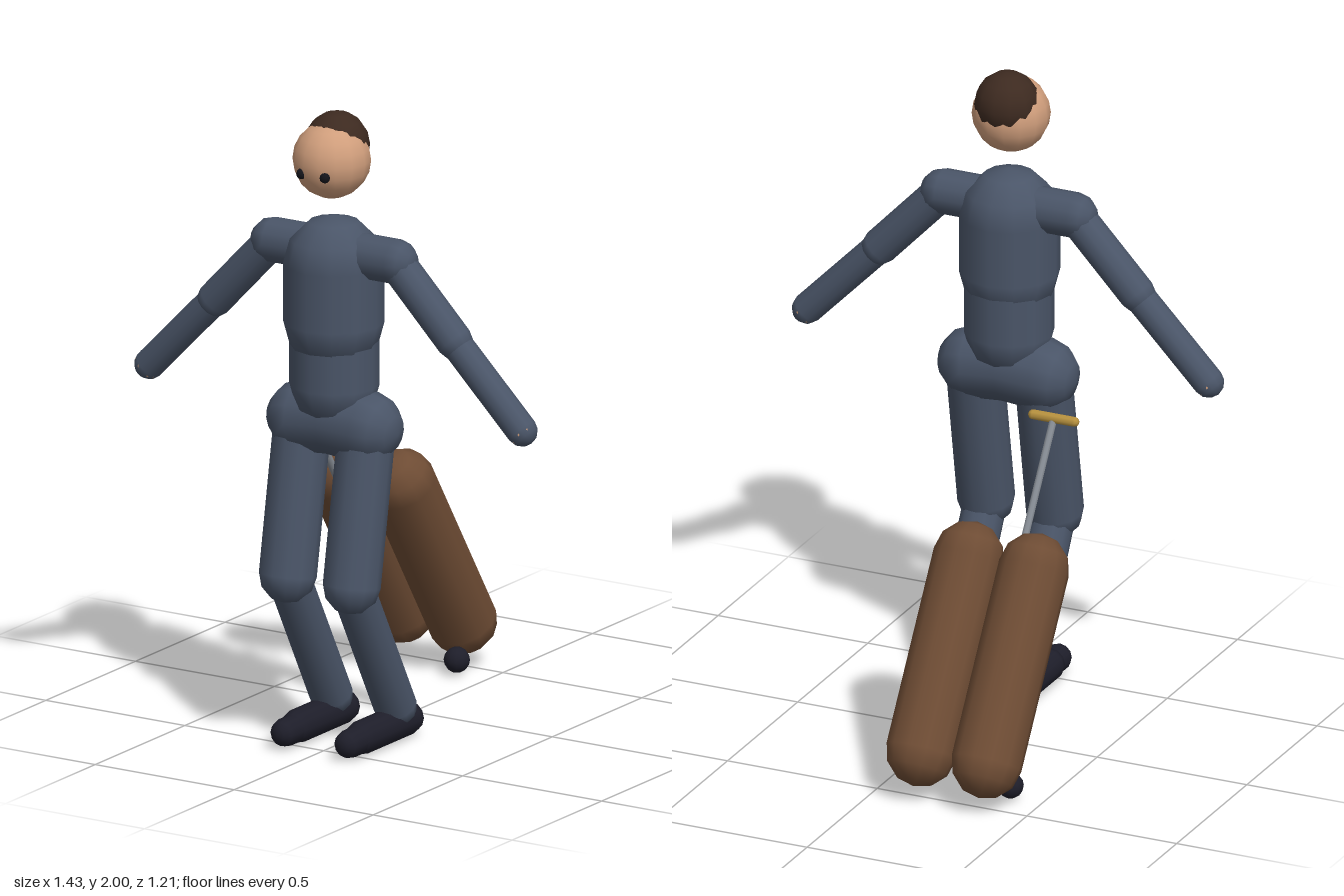
import * as THREE from 'three';

const paint = (name, color) => {
  const m = new THREE.MeshStandardMaterial({ color });
  m.name = name;
  return m;
};

export function createModel() {
  const suit = paint('slate suit', 0x4a5568);
  const skin = paint('skin', 0xd09e7c);
  const hairBrown = paint('dark brown hair', 0x3d2a20);
  const black = paint('black eyes', 0x14141a);
  const shoe = paint('dark shoes and wheels', 0x1e1e2a);
  const leather = paint('brown leather', 0x6e4c34);
  const steel = paint('grey steel', 0x868c94);
  const brass = paint('brass', 0xb8923f);

  const model = new THREE.Group();
  model.name = 'travellerWithSuitcase';
  const figure = new THREE.Group();
  figure.name = 'traveller';
  const luggage = new THREE.Group();
  luggage.name = 'suitcase';
  model.add(figure, luggage);

  // Rounded limb whose end caps are centred on a and b
  const limb = (parent, name, material, r, a, b, sides = 12) => {
    const start = new THREE.Vector3(...a);
    const end = new THREE.Vector3(...b);
    const axis = end.clone().sub(start);
    const mesh = new THREE.Mesh(new THREE.CapsuleGeometry(r, axis.length(), 3, sides), material);
    mesh.position.copy(start).add(end).multiplyScalar(0.5);
    mesh.quaternion.setFromUnitVectors(new THREE.Vector3(0, 1, 0), axis.normalize());
    mesh.name = name;
    parent.add(mesh);
    return mesh;
  };

  const ball = (parent, name, material, r, p, w = 12, h = 8) => {
    const mesh = new THREE.Mesh(new THREE.SphereGeometry(r, w, h), material);
    mesh.position.set(...p);
    mesh.name = name;
    parent.add(mesh);
    return mesh;
  };

  // Head, with the hair as a second ball set up and back
  ball(figure, 'head', skin, 0.12, [0, 1.857, 0.455], 14, 10);
  ball(figure, 'hair', hairBrown, 0.101, [0, 1.899, 0.427], 12, 8);

  // Trunk
  limb(figure, 'chest', suit, 0.154, [0, 1.345, 0.444], [0, 1.525, 0.444]);
  limb(figure, 'abdomen', suit, 0.137, [0, 1.147, 0.44], [0, 1.36, 0.44]);

  // Mirrored parts
  for (const [side, s] of [['left', 1], ['right', -1]]) {
    ball(figure, side + 'Eye', black, 0.017, [s * 0.042, 1.829, 0.558], 8, 6);

    const shoulder = [s * 0.22, 1.565, 0.44];
    const elbow = [s * 0.43, 1.345, 0.436];
    const wrist = [s * 0.67, 1.1, 0.432];
    limb(figure, side + 'Shoulder', suit, 0.07, [0, 1.565, 0.44], shoulder);
    limb(figure, side + 'UpperArm', suit, 0.056, shoulder, elbow);
    limb(figure, side + 'Forearm', suit, 0.048, elbow, wrist);
    ball(figure, side + 'Hand', skin, 0.046, wrist, 10, 8);

    const x = s * 0.115;
    const hip = [x, 1.026, 0.437];
    const knee = [x, 0.545, 0.522];
    const ankle = [x, 0.11, 0.28];
    limb(figure, side + 'Hip', suit, 0.112, [0, 1.035, 0.437], hip);
    limb(figure, side + 'Thigh', suit, 0.088, hip, knee);
    limb(figure, side + 'Shin', suit, 0.067, knee, ankle);
    limb(figure, side + 'Shoe', shoe, 0.052, [x, 0.055, 0.215], [x, 0.055, 0.47]);
    limb(figure, side + 'ShoeToe', shoe, 0.044, [x, 0.052, 0.4], [x, 0.052, 0.538]);

    // Suitcase halves and wheels, mirrored about the pull rod
    const mid = -0.254;
    limb(luggage, side + 'CaseHalf', leather, 0.109,
      [mid + s * 0.109, 0.15, -0.495], [mid + s * 0.109, 0.661, -0.158]);
    ball(luggage, side + 'Wheel', shoe, 0.04, [mid + s * 0.148, 0.05, -0.407]);
  }

  // Pull rod and cross grip
  limb(luggage, 'pullRod', steel, 0.012, [-0.254, 0.59, -0.047], [-0.254, 0.985, 0.213], 8);
  limb(luggage, 'grip', brass, 0.016, [-0.322, 0.99, 0.216], [-0.186, 0.99, 0.216], 8);

  return model;
}
